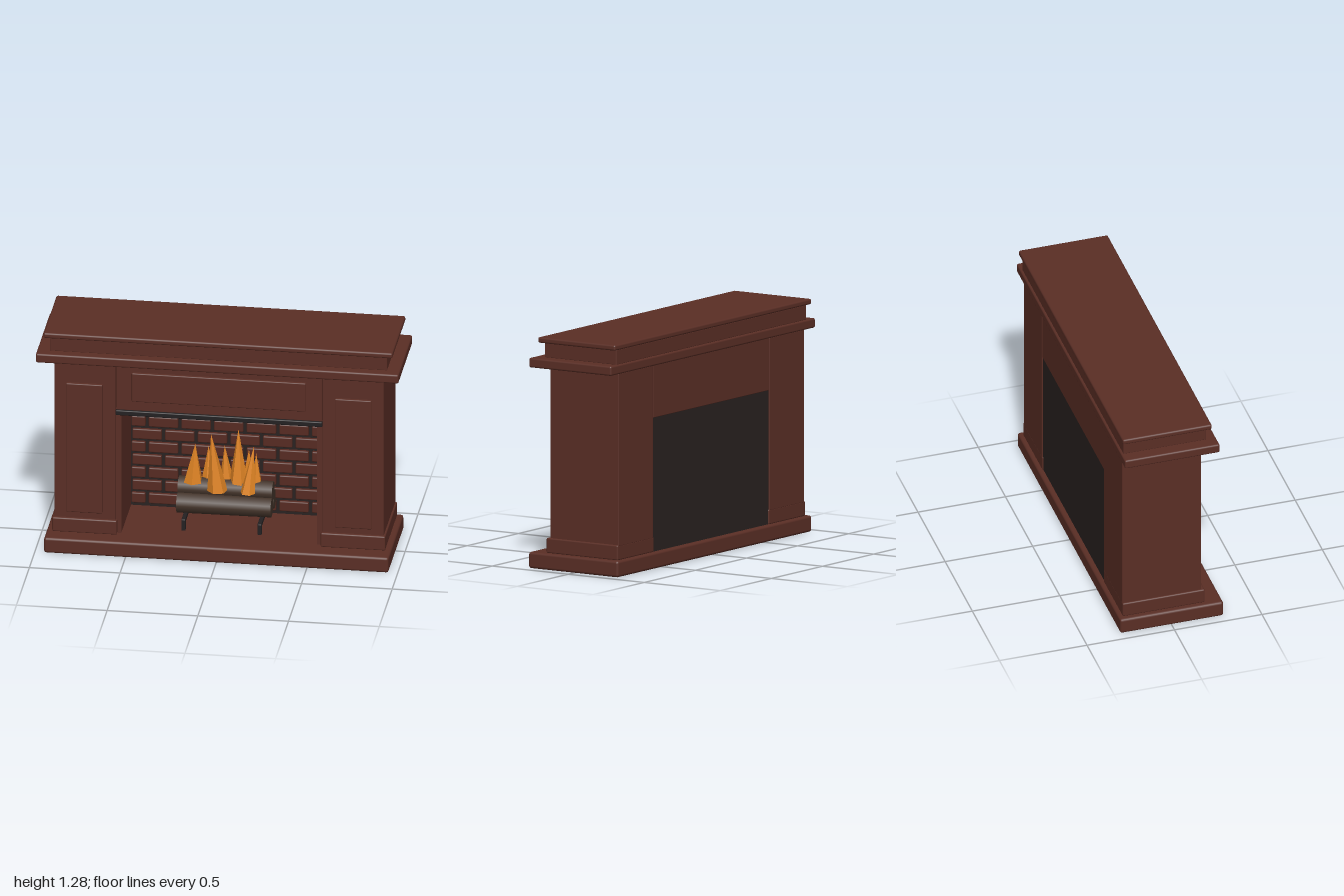
import * as THREE from 'three';
import { RoundedBoxGeometry } from 'three/addons/geometries/RoundedBoxGeometry.js';

const mat = (name, color) => {
  const m = new THREE.MeshStandardMaterial({ color });
  m.name = name;
  return m;
};

export function createModel() {
  const wood = mat('mahogany', 0x5a2e25);
  const brickRed = mat('brick', 0x562a21);
  const soot = mat('soot', 0x292120);
  const iron = mat('iron', 0x232021);
  const bark = mat('bark', 0x44342a);
  const flameOrange = mat('flame', 0xe08424);
  flameOrange.flatShading = true;

  const root = new THREE.Group();
  root.name = 'fireplace';
  const group = (name) => {
    const g = new THREE.Group();
    g.name = name;
    root.add(g);
    return g;
  };

  // Box given by its limits on each axis, with softened edges
  const box = (parent, name, m, [x0, x1], [y0, y1], [z0, z1], r = 0.01) => {
    const size = [x1 - x0, y1 - y0, z1 - z0];
    const geo = r > 0 ? new RoundedBoxGeometry(...size, 2, r) : new THREE.BoxGeometry(...size);
    const mesh = new THREE.Mesh(geo, m);
    mesh.name = name;
    mesh.position.set((x0 + x1) / 2, (y0 + y1) / 2, (z0 + z1) / 2);
    parent.add(mesh);
    return mesh;
  };

  // Hearth slab and stacked mantel
  box(root, 'hearth', wood, [-0.95, 0.95], [0, 0.09], [-0.293, 0.297], 0.014);
  const mantel = group('mantel');
  box(mantel, 'mantelShelf', wood, [-1, 1], [1.12, 1.173], [-0.282, 0.26], 0.01);
  box(mantel, 'mantelBand', wood, [-0.93, 0.93], [1.17, 1.256], [-0.27, 0.204], 0.006);
  box(mantel, 'mantelTop', wood, [-0.962, 0.962], [1.254, 1.285], [-0.282, 0.227], 0.01);

  // Lintel with raised panel and iron lip over the opening
  box(root, 'lintel', wood, [-0.567, 0.567], [0.83, 1.122], [-0.268, 0.178], 0.004);
  box(root, 'lintelPanel', wood, [-0.48, 0.48], [0.89, 1.06], [0.17, 0.195], 0.006);
  box(root, 'lintelLip', iron, [-0.57, 0.57], [0.802, 0.832], [0.13, 0.192], 0.006);

  // Pillars, mirrored
  for (const s of [-1, 1]) {
    const g = group(s > 0 ? 'leftPillar' : 'rightPillar');
    const span = (a, b) => (s > 0 ? [a, b] : [-b, -a]);
    box(g, 'pillarPlinth', wood, span(0.562, 0.918), [0.088, 0.172], [-0.27, 0.2], 0.008);
    box(g, 'pillarShaft', wood, span(0.57, 0.908), [0.165, 1.122], [-0.27, 0.182], 0.005);
    box(g, 'pillarPanel', wood, span(0.64, 0.842), [0.21, 0.98], [0.17, 0.2], 0.006);
    box(g, 'fireboxCheek', wood, span(0.54, 0.572), [0.088, 0.832], [-0.255, 0.172], 0);
  }

  // Firebox back and running-bond bricks
  box(root, 'fireboxBack', soot, [-0.567, 0.567], [0.088, 0.832], [-0.264, -0.205], 0);
  const bricks = group('brickWall');
  const pitch = 0.18, rowStep = 0.0765, joint = 0.009;
  for (let row = 0; row < 9; row++) {
    const y0 = 0.112 + row * rowStep;
    const start = -0.54 - (row % 2 ? 0 : pitch / 2);
    for (let x = start; x < 0.535; x += pitch) {
      const x0 = Math.max(x + joint, -0.536);
      const x1 = Math.min(x + pitch - joint, 0.536);
      box(bricks, 'brick', brickRed, [x0, x1], [y0, y0 + 0.06], [-0.215, -0.185], 0.007);
    }
  }

  // Grate: two bars with front and back feet
  const grate = group('grate');
  for (const x of [-0.21, 0.21]) {
    box(grate, 'grateBar', iron, [x - 0.011, x + 0.011], [0.133, 0.155], [-0.17, 0.09], 0.003);
    for (const z of [-0.16, 0.08])
      box(grate, 'grateFoot', iron, [x - 0.011, x + 0.011], [0.088, 0.15], [z - 0.011, z + 0.011], 0.003);
  }

  // Stacked logs
  const logs = group('logs');
  for (const [x, y, z, r] of [[0, 0.2, -0.035, 0.057], [0, 0.2, -0.15, 0.056], [0, 0.275, -0.092, 0.056]]) {
    const log = new THREE.Mesh(new THREE.CylinderGeometry(r, r * 0.95, 0.52, 12), bark);
    log.name = 'log';
    log.rotation.z = Math.PI / 2;
    log.position.set(x, y, z);
    logs.add(log);
  }

  // Flames: leaning faceted spikes, from base centre to tip
  const flames = group('flames');
  const spikes = [
    [-0.18, 0.31, -0.08, -0.165, 0.545, -0.06, 0.055],
    [-0.1, 0.31, -0.12, -0.1, 0.51, -0.12, 0.04],
    [-0.04, 0.285, -0.035, -0.072, 0.63, -0.015, 0.056],
    [0.0, 0.31, -0.12, -0.01, 0.52, -0.11, 0.04],
    [0.068, 0.31, -0.1, 0.067, 0.63, -0.1, 0.052],
    [0.13, 0.285, -0.025, 0.157, 0.545, -0.06, 0.042],
    [0.12, 0.31, -0.11, 0.125, 0.51, -0.1, 0.04],
    [0.165, 0.31, -0.1, 0.165, 0.49, -0.1, 0.032],
  ];
  spikes.forEach(([bx, by, bz, tx, ty, tz, r], i) => {
    const h = ty - by;
    const geo = new THREE.ConeGeometry(r, h, 6);
    geo.rotateY(i * 0.9);
    geo.translate(0, h / 2, 0);
    // shear towards the tip
    const p = geo.attributes.position;
    for (let k = 0; k < p.count; k++) {
      const t = p.getY(k) / h;
      p.setX(k, p.getX(k) + (tx - bx) * t);
      p.setZ(k, p.getZ(k) + (tz - bz) * t);
    }
    geo.computeVertexNormals();
    const flame = new THREE.Mesh(geo, flameOrange);
    flame.name = 'flame';
    flame.position.set(bx, by, bz);
    flames.add(flame);
  });

  return root;
}
